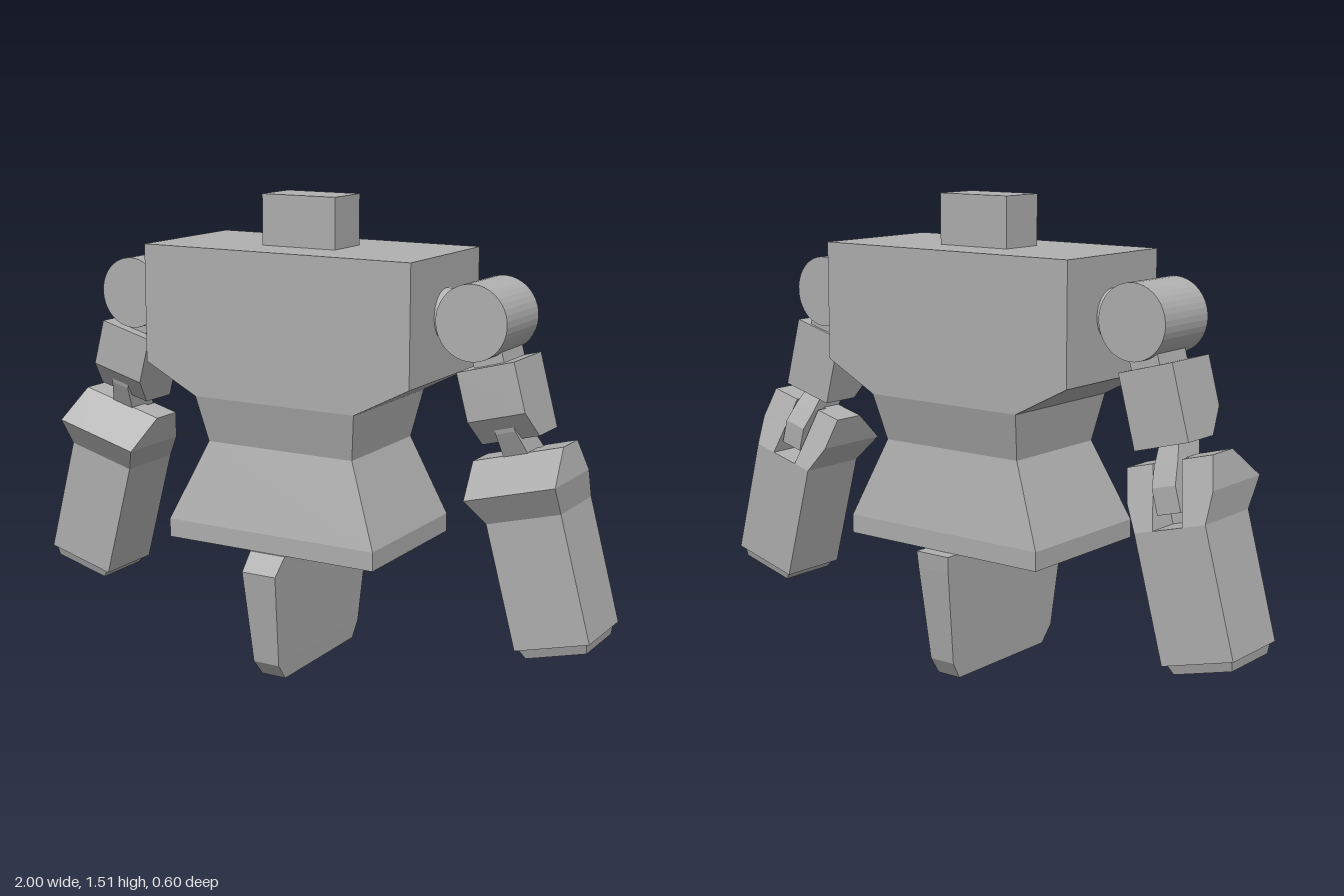
import * as THREE from 'three';

const grey = new THREE.MeshStandardMaterial({ color: 0xb0b0b0 });
grey.name = 'plain grey';

// Faceted solid through rectangular sections [y, x0, x1, z0, z1], listed top to bottom.
function loft(name, levels) {
  const pos = [];
  const index = [];
  for (const [y, x0, x1, z0, z1] of levels) {
    pos.push(x0, y, z1, x1, y, z1, x1, y, z0, x0, y, z0);
  }
  const last = (levels.length - 1) * 4;
  for (let r = 0; r < last; r += 4) {
    for (let i = 0; i < 4; i++) {
      const a = r + i, b = r + (i + 1) % 4;
      index.push(a, a + 4, b + 4, a, b + 4, b);
    }
  }
  index.push(0, 1, 2, 0, 2, 3);
  index.push(last, last + 2, last + 1, last, last + 3, last + 2);
  const g = new THREE.BufferGeometry();
  g.setAttribute('position', new THREE.Float32BufferAttribute(pos, 3));
  g.setIndex(index);
  return facet(name, g);
}

function facet(name, geometry) {
  const g = geometry.toNonIndexed();
  g.computeVertexNormals();
  const mesh = new THREE.Mesh(g, grey);
  mesh.name = name;
  return mesh;
}

// side: +1 for the left arm, -1 for the right arm
function makeArm(side) {
  const arm = new THREE.Group();
  arm.name = side > 0 ? 'leftArm' : 'rightArm';
  arm.position.set(side * 0.61, 1.17, 0);
  arm.rotation.z = side * Math.PI / 12;

  // Levels give depth below the shoulder; x is mirrored for the other side
  const part = (name, levels) => arm.add(loft(name, levels.map(([d, a, b, z0, z1]) =>
    [-d, Math.min(a * side, b * side), Math.max(a * side, b * side), z0, z1])));

  const drum = new THREE.CylinderGeometry(0.115, 0.115, 0.23, 40);
  drum.rotateX(Math.PI / 2);
  drum.translate(0, 0, -0.013);
  arm.add(facet('shoulderDrum', drum));

  part('neckOfArm', [[0.05, -0.05, 0.05, -0.105, 0.045], [0.15, -0.05, 0.05, -0.105, 0.045]]);
  part('upperArm', [
    [0.135, -0.09, 0.1, -0.115, 0.085],
    [0.288, -0.09, 0.1, -0.115, 0.085],
    [0.368, -0.09, 0.1, -0.115, 0.02],
  ]);

  // Bent link running from the upper arm into the notch at the back of the forearm
  part('elbowLink', [
    [0.3, -0.025, 0.04, -0.04, 0.06],
    [0.34, -0.025, 0.04, -0.06, 0.05],
    [0.42, -0.035, 0.047, -0.11, 0.01],
    [0.48, -0.035, 0.047, -0.145, -0.05],
    [0.56, -0.035, 0.047, -0.145, -0.06],
  ]);

  // Flared collar in three strips, the middle one cut back to leave the notch
  const strips = [
    ['collarInner', -0.138, -0.11, -0.045, -0.045],
    ['collarOuter', 0.162, 0.136, 0.057, 0.057],
  ];
  for (const [name, wide, narrow, edge] of strips) {
    part(name, [
      [0.413, edge, wide, -0.1, 0.01],
      [0.512, edge, wide, -0.136, 0.128],
      [0.6, edge, narrow, -0.17, 0.07],
    ]);
  }
  part('collarMiddle', [
    [0.413, -0.045, 0.057, -0.06, 0.01],
    [0.512, -0.045, 0.057, -0.06, 0.128],
    [0.6, -0.045, 0.057, -0.06, 0.07],
  ]);
  part('forearm', [[0.6, -0.11, 0.136, -0.17, 0.07], [0.996, -0.11, 0.136, -0.17, 0.07]]);
  part('wristPlate', [[0.99, -0.1, 0.126, -0.16, 0.065], [1.027, -0.087, 0.113, -0.15, 0.052]]);
  return arm;
}

export function createModel() {
  const model = new THREE.Group();
  model.name = 'figure';

  model.add(loft('head', [[1.51, -0.13, 0.13, -0.095, 0.06], [1.35, -0.13, 0.13, -0.095, 0.06]]));

  // Chest, waist and flared skirt
  model.add(loft('torso', [
    [1.35, -0.47, 0.47, -0.25, 0.217],
    [0.975, -0.47, 0.47, -0.25, 0.217],
    [0.88, -0.285, 0.285, -0.25, 0.217],
    [0.73, -0.26, 0.26, -0.21, 0.18],
    [0.475, -0.37, 0.37, -0.26, 0.247],
    [0.415, -0.37, 0.37, -0.26, 0.247],
  ]));

  // Single tapered foot below the skirt
  model.add(loft('footBlade', [
    [0.414, -0.063, 0.063, -0.3, 0.25],
    [0.36, -0.06, 0.06, -0.295, 0.303],
    [0.055, -0.046, 0.046, -0.255, 0.26],
    [0, -0.043, 0.043, -0.222, 0.215],
  ]));

  for (const side of [1, -1]) {
    const axle = new THREE.CylinderGeometry(0.08, 0.08, 0.16, 32);
    axle.rotateZ(Math.PI / 2);
    axle.translate(side * 0.53, 1.17, -0.02);
    model.add(facet(side > 0 ? 'leftShoulderAxle' : 'rightShoulderAxle', axle));
    model.add(makeArm(side));
  }
  return model;
}
